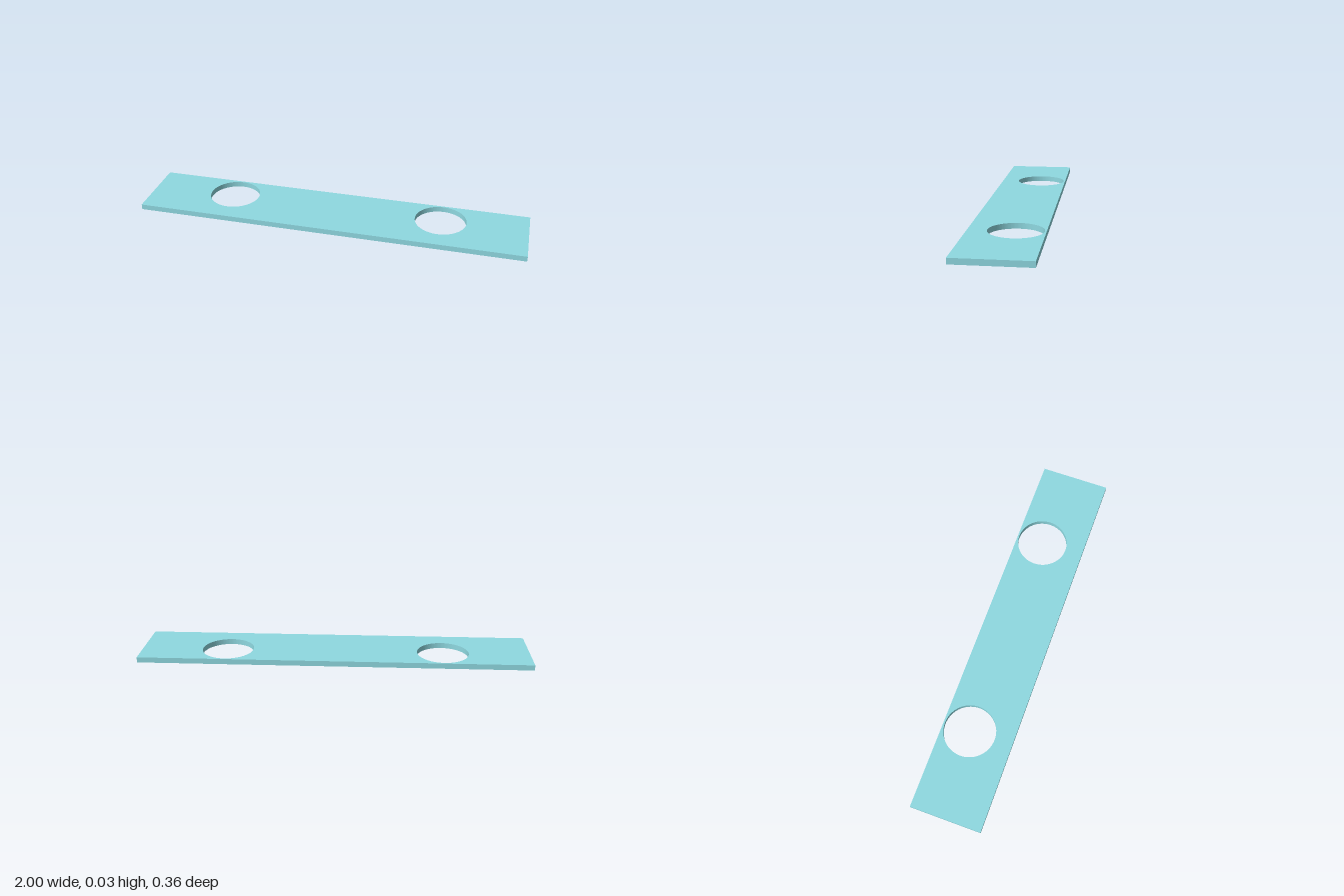
import * as THREE from 'three';
import { toCreasedNormals } from 'three/addons/utils/BufferGeometryUtils.js';

const LENGTH = 2, WIDTH = 0.364, THICKNESS = 0.028;
const HOLE_X = 0.555, HOLE_Z = -0.042, HOLE_RADIUS = 0.132;

export function createModel() {
  const group = new THREE.Group();
  group.name = 'mountingPlate';

  // Rectangular outline, drawn flat with shape y = -z
  const x = LENGTH / 2, y = WIDTH / 2;
  const outline = new THREE.Shape([
    new THREE.Vector2(-x, -y),
    new THREE.Vector2(x, -y),
    new THREE.Vector2(x, y),
    new THREE.Vector2(-x, y),
  ]);

  // Two round through-holes, set towards the back edge
  for (const side of [-1, 1]) {
    const hole = new THREE.Path();
    hole.absarc(side * HOLE_X, -HOLE_Z, HOLE_RADIUS, 0, Math.PI * 2, true);
    outline.holes.push(hole);
  }

  // Plate lying on the ground, with smooth hole walls and sharp edges
  const geometry = new THREE.ExtrudeGeometry(outline, {
    depth: THICKNESS,
    bevelEnabled: false,
    curveSegments: 64,
  });
  geometry.rotateX(-Math.PI / 2);

  const plate = new THREE.Mesh(
    toCreasedNormals(geometry, Math.PI / 6),
    new THREE.MeshStandardMaterial({ color: 0x8fd9e1 })
  );
  plate.name = 'plate';
  group.add(plate);
  return group;
}
